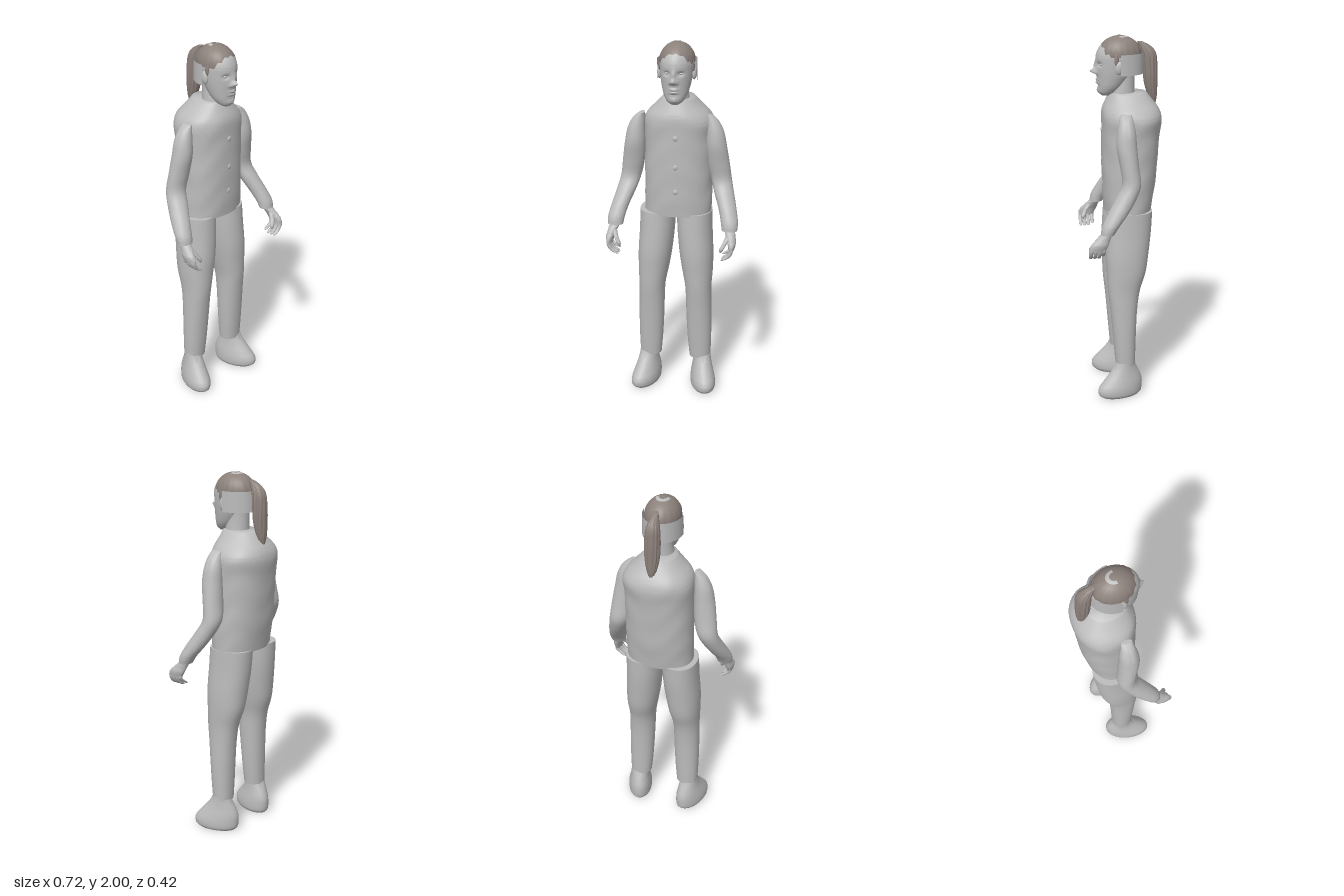
import * as THREE from 'three';
import { toCreasedNormals } from 'three/addons/utils/BufferGeometryUtils.js';

const grey = new THREE.MeshStandardMaterial({ color: 0xbcbcbc, side: THREE.DoubleSide });
grey.name = 'plain grey';
const brown = new THREE.MeshStandardMaterial({ color: 0x8c817b, side: THREE.DoubleSide });
brown.name = 'hair brown';

// Smooth closed loft through horizontal rings [y, centreX, centreZ, radiusX, radiusZ], lowest first.
function loft(rings, { sides = 32, steps = 5, power = 2, deform } = {}) {
  const mid = new THREE.CatmullRomCurve3(rings.map(r => new THREE.Vector3(r[1], r[0], r[2])));
  const rad = new THREE.CatmullRomCurve3(rings.map(r => new THREE.Vector3(r[3], r[4], r[0])));
  const rows = (rings.length - 1) * steps;
  const pos = [], idx = [], v = new THREE.Vector3();
  const bend = (c, p) => Math.sign(c) * Math.abs(c) ** (2 / p);
  for (let i = 0; i <= rows; i++) {
    const c = mid.getPoint(i / rows), r = rad.getPoint(i / rows);
    for (let j = 0; j < sides; j++) {
      const a = j / sides * Math.PI * 2;
      v.set(c.x + bend(Math.cos(a), power) * r.x, c.y, c.z + bend(Math.sin(a), power) * r.y);
      if (deform) deform(v, a, c);
      pos.push(v.x, v.y, v.z);
      if (i < rows) {
        const p = i * sides + j, q = i * sides + (j + 1) % sides;
        idx.push(p, p + sides, q, q, p + sides, q + sides);
      }
    }
  }
  // End caps
  for (const [row, up] of [[0, false], [rows, true]]) {
    const c = mid.getPoint(row / rows), n = pos.length / 3;
    pos.push(c.x, c.y, c.z);
    for (let j = 0; j < sides; j++) {
      const p = row * sides + j, q = row * sides + (j + 1) % sides;
      if (up) idx.push(n, q, p); else idx.push(n, p, q);
    }
  }
  const g = new THREE.BufferGeometry();
  g.setAttribute('position', new THREE.Float32BufferAttribute(pos, 3));
  g.setIndex(idx);
  return toCreasedNormals(g, 1.0);
}

function add(parent, name, geometry, material = grey) {
  const m = new THREE.Mesh(geometry, material);
  m.name = name;
  parent.add(m);
  return m;
}

function ball(parent, name, [x, y, z], [rx, ry, rz], material = grey) {
  const m = add(parent, name, new THREE.SphereGeometry(1, 20, 14), material);
  m.position.set(x, y, z);
  m.scale.set(rx, ry, rz);
  return m;
}

function buildTorso(root) {
  // Soft cloth folds across the shirt
  const folds = (v, a, c) => {
    const w = 1 + 0.012 * Math.sin(v.y * 31 + 2 * Math.sin(a * 3)) * Math.sin(a * 2 + v.y * 9);
    v.x = c.x + (v.x - c.x) * w;
    v.z = c.z + (v.z - c.z) * w;
  };
  add(root, 'shirt', loft([
    [1.055, 0.01, -0.028, 0.183, 0.128], [1.18, 0.01, -0.034, 0.184, 0.142],
    [1.32, 0.01, -0.04, 0.184, 0.15], [1.48, 0.01, -0.046, 0.184, 0.156],
    [1.57, 0.012, -0.05, 0.188, 0.161], [1.61, 0.01, -0.047, 0.17, 0.153],
    [1.66, 0.01, -0.038, 0.122, 0.125], [1.70, 0.01, -0.03, 0.085, 0.1],
  ], { sides: 48, power: 2.2, deform: folds }));
  for (const [y, z] of [[1.2, 0.104], [1.34, 0.107], [1.5, 0.107]])
    ball(root, 'button', [0.015, y, z], [0.014, 0.016, 0.008]);
}

function buildArm(root, s) {
  const arm = new THREE.Group();
  arm.name = s > 0 ? 'leftArm' : 'rightArm';
  arm.position.x = s > 0 ? 0 : -0.003;
  root.add(arm);
  const limb = (name, rings, opt) => add(arm, name, loft(rings.map(([y, x, ...r]) => [y, x * s, ...r]), opt));
  limb('sleeve', [
    [1.005, 0.312, 0.112, 0.042, 0.036], [1.04, 0.31, 0.098, 0.046, 0.044],
    [1.1, 0.295, 0.06, 0.048, 0.053], [1.18, 0.268, 0.01, 0.053, 0.055],
    [1.25, 0.248, -0.022, 0.056, 0.05], [1.34, 0.232, -0.014, 0.06, 0.05],
    [1.45, 0.22, 0, 0.055, 0.054], [1.53, 0.211, 0, 0.046, 0.048],
    [1.585, 0.195, 0, 0.031, 0.036], [1.61, 0.18, 0, 0.015, 0.03],
  ]);
  limb('palm', [
    [0.92, 0.332, 0.168, 0.016, 0.042], [0.95, 0.332, 0.157, 0.022, 0.047],
    [0.98, 0.323, 0.136, 0.025, 0.038], [1.015, 0.312, 0.112, 0.03, 0.027],
  ], { sides: 20 });
  // Four curled fingers and a thumb
  for (let k = 0; k < 4; k++) {
    const z = 0.135 + 0.022 * k, d = k === 0 ? 0.012 : 0;
    limb('finger', [
      [0.863 + d, 0.283, z, 0.005, 0.005], [0.87 + d, 0.294, z, 0.012, 0.01],
      [0.887 + d, 0.318, z, 0.012, 0.01], [0.915, 0.333, z, 0.011, 0.011],
      [0.94, 0.332, z, 0.011, 0.011],
    ], { sides: 12, steps: 4 });
  }
  limb('thumb', [
    [0.905, 0.275, 0.19, 0.005, 0.005], [0.917, 0.278, 0.189, 0.011, 0.011],
    [0.95, 0.295, 0.175, 0.012, 0.013], [0.985, 0.312, 0.148, 0.015, 0.016],
  ], { sides: 12, steps: 4 });
}

function buildLeg(root, s) {
  const o = s > 0 ? 0.002 : -0.006;
  add(root, s > 0 ? 'leftTrouserLeg' : 'rightTrouserLeg', loft([
    [0.18, 0.139, -0.003, 0.06, 0.054], [0.28, 0.136, 0, 0.066, 0.06],
    [0.4, 0.133, 0.003, 0.07, 0.067], [0.52, 0.13, 0.005, 0.071, 0.076],
    [0.62, 0.127, 0.003, 0.073, 0.089], [0.72, 0.12, -0.01, 0.085, 0.107],
    [0.82, 0.112, -0.015, 0.093, 0.117], [0.95, 0.102, -0.025, 0.096, 0.122],
    [1.065, 0.098, -0.032, 0.097, 0.122],
  ].map(([y, x, ...r]) => [y, x * s + o, ...r]), { power: 2.2 }));
  // Shoe, toes turned outward
  const shoe = add(root, s > 0 ? 'leftShoe' : 'rightShoe', loft([
    [0, 0, 0.028, 0.06, 0.11], [0.015, 0, 0.03, 0.068, 0.126],
    [0.05, 0, 0.028, 0.069, 0.129], [0.09, 0, 0.014, 0.063, 0.113],
    [0.13, 0, 0.004, 0.055, 0.088], [0.17, 0, -0.001, 0.05, 0.063],
    [0.21, 0, -0.002, 0.048, 0.045],
  ]));
  shoe.position.x = s * 0.152 + o;
  shoe.rotation.y = s * 0.3;
}

function buildHead(root) {
  const head = new THREE.Group();
  head.name = 'head';
  head.position.x = 0.01;
  root.add(head);
  add(head, 'neck', loft([
    [1.6, 0, -0.01, 0.075, 0.075], [1.68, 0, 0, 0.064, 0.068],
    [1.76, 0, -0.005, 0.056, 0.062], [1.84, 0, -0.01, 0.055, 0.06],
  ]));
  // Face relief: x, y, widthX, widthY, depth
  const relief = [
    [0.036, 1.852, 0.016, 0.011, -0.014], [-0.036, 1.852, 0.016, 0.011, -0.014],
    [0, 1.845, 0.011, 0.026, 0.012], [0, 1.814, 0.013, 0.013, 0.034],
    [0.016, 1.806, 0.009, 0.008, 0.012], [-0.016, 1.806, 0.009, 0.008, 0.012],
    [0, 1.769, 0.022, 0.006, 0.009], [0, 1.753, 0.019, 0.006, 0.009],
    [0, 1.737, 0.025, 0.008, -0.004], [0, 1.712, 0.022, 0.012, 0.006],
  ];
  add(head, 'face', loft([
    [1.685, 0, 0.085, 0.024, 0.026], [1.70, 0, 0.079, 0.044, 0.046],
    [1.73, 0, 0.064, 0.062, 0.066], [1.77, 0, 0.049, 0.074, 0.083],
    [1.81, 0, 0.038, 0.082, 0.097], [1.86, 0, 0.026, 0.088, 0.112],
    [1.90, 0, 0.021, 0.089, 0.116], [1.94, 0, 0.018, 0.078, 0.102],
    [1.97, 0, 0.013, 0.056, 0.076], [1.987, 0, 0.01, 0.025, 0.035],
  ], {
    sides: 96, steps: 8,
    deform: (v) => {
      if (v.z < 0.05) return;
      let d = 0;
      for (const [x, y, wx, wy, amp] of relief)
        d += amp * Math.exp(-(((v.x - x) / wx) ** 2) - ((v.y - y) / wy) ** 2);
      v.z += d;
    },
  }));
  for (const s of [1, -1]) {
    ball(head, 'eye', [s * 0.036, 1.852, 0.112], [0.013, 0.007, 0.011]);
    const ear = ball(head, 'ear', [s * 0.092, 1.84, 0.025], [0.013, 0.035, 0.02]);
    ear.rotation.x = -0.15;
    const lock = ball(head, 'sideLock', [s * 0.088, 1.885, 0.038], [0.008, 0.035, 0.012], brown);
    lock.rotation.z = s * 0.08;
  }
  // Strap wrapping the back of the head
  const strap = add(head, 'strap',
    new THREE.CylinderGeometry(1, 1, 0.11, 40, 1, true, Math.PI / 2, Math.PI));
  strap.scale.set(0.106, 1, 0.132);
  strap.position.set(0, 1.855, 0.018);

  // Hair cap, combed back, with a bare crescent on the crown
  const cap = new THREE.SphereGeometry(1, 64, 24, 0, Math.PI * 2, 0, 1.62);
  cap.scale(0.094, 0.099, 0.115);
  const p = cap.attributes.position;
  for (let i = 0; i < p.count; i++) {
    const low = 1 - p.getY(i) / 0.099;
    const w = 1 + 0.015 * low * Math.sin(Math.atan2(p.getZ(i), p.getX(i)) * 16);
    p.setX(i, p.getX(i) * w);
    p.setZ(i, p.getZ(i) * w);
  }
  cap.computeVertexNormals();
  add(head, 'hairCap', cap, brown).position.set(0, 1.9, 0.012);
  const patch = new THREE.SphereGeometry(1, 24, 4, Math.PI, Math.PI, 0.24, 0.17);
  patch.scale(0.0955, 0.101, 0.117);
  add(head, 'crownPatch', patch).position.set(0, 1.9, 0.016);

  // Ponytail with strand ridges
  add(head, 'ponytail', loft([
    [1.62, 0.002, -0.172, 0.006, 0.006], [1.67, 0, -0.164, 0.025, 0.022],
    [1.75, 0, -0.154, 0.038, 0.034], [1.84, 0, -0.149, 0.039, 0.038],
    [1.91, 0, -0.14, 0.032, 0.037], [1.945, 0, -0.118, 0.02, 0.028],
    [1.965, 0, -0.095, 0.012, 0.014],
  ], {
    sides: 72,
    deform: (v, a, c) => {
      const w = 1 + 0.07 * Math.sin(a * 12 + v.y * 10);
      v.x = c.x + (v.x - c.x) * w;
      v.z = c.z + (v.z - c.z) * w;
    },
  }), brown);
}

export function createModel() {
  const root = new THREE.Group();
  root.name = 'standingFigure';
  buildTorso(root);
  for (const s of [1, -1]) {
    buildArm(root, s);
    buildLeg(root, s);
  }
  buildHead(root);
  return root;
}
